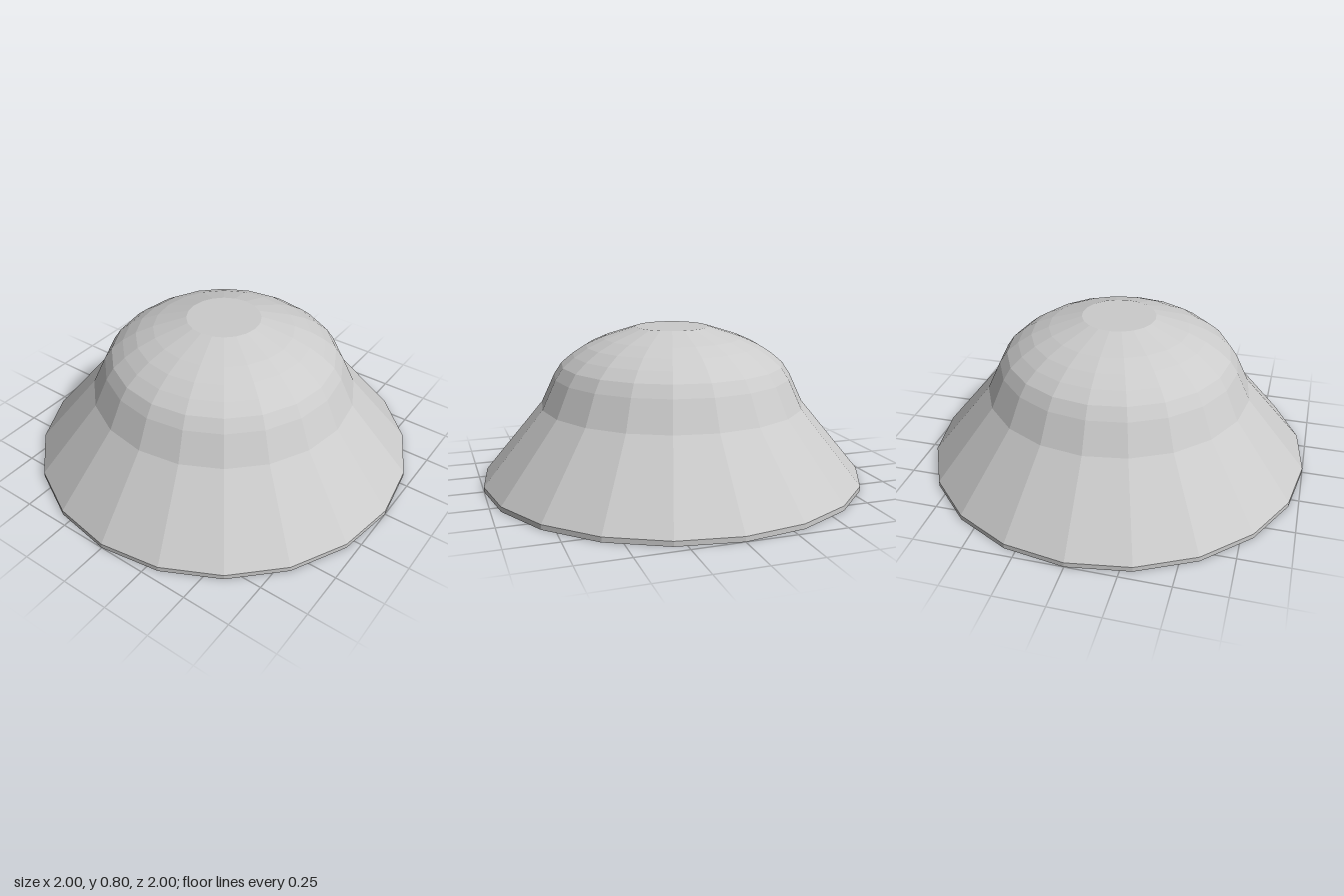
import * as THREE from 'three';

const SIDES = 20;

export function createModel() {
  const model = new THREE.Group();
  model.name = 'steppedDome';
  const material = new THREE.MeshStandardMaterial({ color: 0xcccccc, flatShading: true });

  // Faceted solid of revolution; profile runs up the outside, down the inside
  const addLathe = (name, profile) => {
    const points = profile.map(([r, y]) => new THREE.Vector2(r, y));
    const mesh = new THREE.Mesh(new THREE.LatheGeometry(points, SIDES), material);
    mesh.name = name;
    model.add(mesh);
  };

  // Thin vertical rim at the foot
  addLathe('rim', [[1, 0], [1, 0.025]]);

  // Flared skirt
  addLathe('skirt', [[1, 0.025], [0.69, 0.4]]);

  // Rounded crown with a flat top
  addLathe('crown', [
    [0.69, 0.4], [0.62, 0.55], [0.58, 0.61], [0.52, 0.66],
    [0.45, 0.705], [0.36, 0.745], [0.19, 0.8], [0, 0.8],
  ]);

  // Hollow underside: three steps leading from the flat ceiling down to the foot
  const steps = [[0.76, 0.27], [0.84, 0.193], [0.92, 0.113]];
  const underside = [[0, 0.27]];
  steps.forEach(([r, top], i) => {
    const bottom = i + 1 < steps.length ? steps[i + 1][1] : 0;
    underside.push([r, top], [r, bottom]);
  });
  underside.push([1, 0]);
  addLathe('steppedUnderside', underside);

  return model;
}
